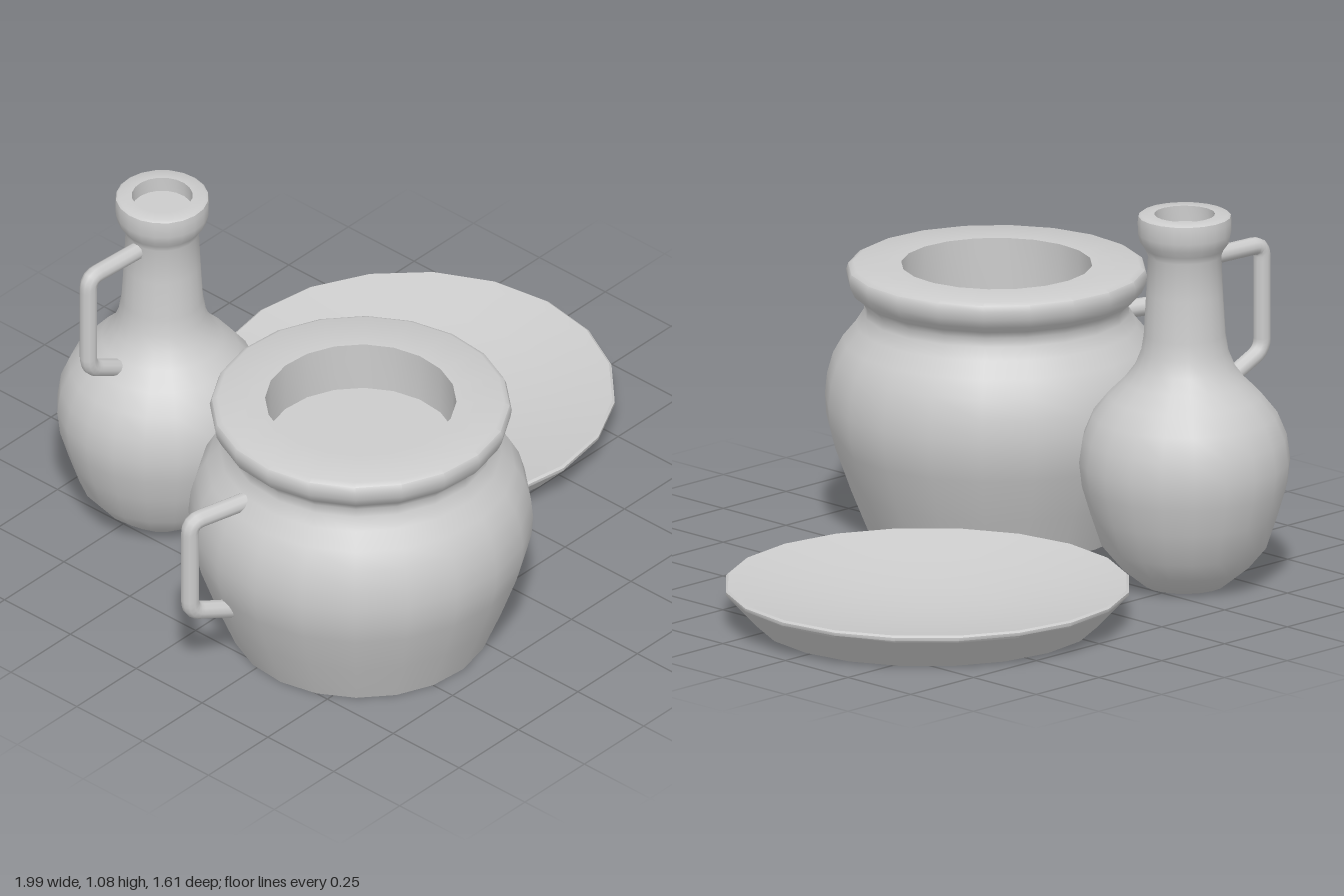
import * as THREE from 'three';
import { toCreasedNormals } from 'three/addons/utils/BufferGeometryUtils.js';

const material = new THREE.MeshStandardMaterial({ color: 0xcccccc });
const SIDES = 20;
const vec = ([x, y]) => new THREE.Vector2(x, y);

function addMesh(group, name, geometry) {
  const mesh = new THREE.Mesh(geometry, material);
  mesh.name = name;
  group.add(mesh);
}

// Turned body: closed base, outer wall, then the inside back to the axis
function turned(outer, inside) {
  const points = [vec([0, 0]), ...outer.map(vec), ...inside.map(vec)];
  // lathe starts on +z, a quarter turn from the handle, so sides line up with it
  return toCreasedNormals(new THREE.LatheGeometry(points, SIDES), 0.75);
}

// Bent rod through the given corners (radius, height), rounded at each bend
function handle(corners, thickness, bend = 0.035) {
  const p = corners.map(([r, y]) => new THREE.Vector3(-r, y, 0));
  const path = new THREE.CurvePath();
  let from = p[0];
  for (let i = 1; i < p.length - 1; i++) {
    const toward = (q) => p[i].clone().add(q.clone().sub(p[i]).setLength(bend));
    const a = toward(p[i - 1]), b = toward(p[i + 1]);
    path.add(new THREE.LineCurve3(from, a));
    path.add(new THREE.QuadraticBezierCurve3(a, p[i], b));
    from = b;
  }
  path.add(new THREE.LineCurve3(from, p[p.length - 1]));
  return new THREE.TubeGeometry(path, 48, thickness, 10);
}

function place(name, x, z, degrees) {
  const group = new THREE.Group();
  group.name = name;
  group.position.set(x, 0, z);
  group.rotation.y = THREE.MathUtils.degToRad(degrees);
  return group;
}

export function createModel() {
  const model = new THREE.Group();
  model.name = 'pottery';

  // Wide pot with a rolled rim
  const pot = place('pot', -0.41, 0.32, -14);
  addMesh(pot, 'potBody', turned(
    [[0.367, 0], [0.42, 0.13], [0.467, 0.26], [0.482, 0.32], [0.486, 0.38], [0.48, 0.44],
      [0.463, 0.5], [0.435, 0.55], [0.398, 0.595], [0.376, 0.63], [0.373, 0.655], [0.385, 0.675],
      [0.41, 0.695], [0.422, 0.72], [0.426, 0.745], [0.42, 0.762], [0.405, 0.77]],
    [[0.27, 0.77], [0.27, 0.62], [0, 0.62]]));
  addMesh(pot, 'potHandle', handle([[0.37, 0.575], [0.58, 0.575], [0.58, 0.272], [0.43, 0.22]], 0.026));

  // Narrow-necked jug
  const jug = place('jug', -0.37, -0.47, -3.5);
  addMesh(jug, 'jugBody', turned(
    [[0.117, 0], [0.185, 0.055], [0.235, 0.115], [0.267, 0.21], [0.291, 0.29], [0.299, 0.36],
      [0.289, 0.43], [0.262, 0.495], [0.218, 0.55], [0.172, 0.595], [0.142, 0.635], [0.124, 0.68],
      [0.116, 0.73], [0.109, 0.85], [0.104, 0.96], [0.112, 0.98], [0.126, 1.0], [0.132, 1.025],
      [0.133, 1.06], [0.131, 1.075], [0.124, 1.08]],
    [[0.086, 1.08], [0.086, 1.035], [0, 1.035]]));
  addMesh(jug, 'jugHandle', handle([[0.08, 0.938], [0.291, 0.938], [0.291, 0.63], [0.16, 0.565]], 0.025));

  // Shallow dish
  const dish = place('dish', 0.42, -0.235, 0);
  addMesh(dish, 'dishBody', turned(
    [[0.483, 0], [0.568, 0.09], [0.575, 0.098], [0.575, 0.107], [0.568, 0.112]],
    [[0.54, 0.107], [0.4, 0.078], [0.2, 0.05], [0, 0.04]]));

  model.add(pot, jug, dish);
  return model;
}
